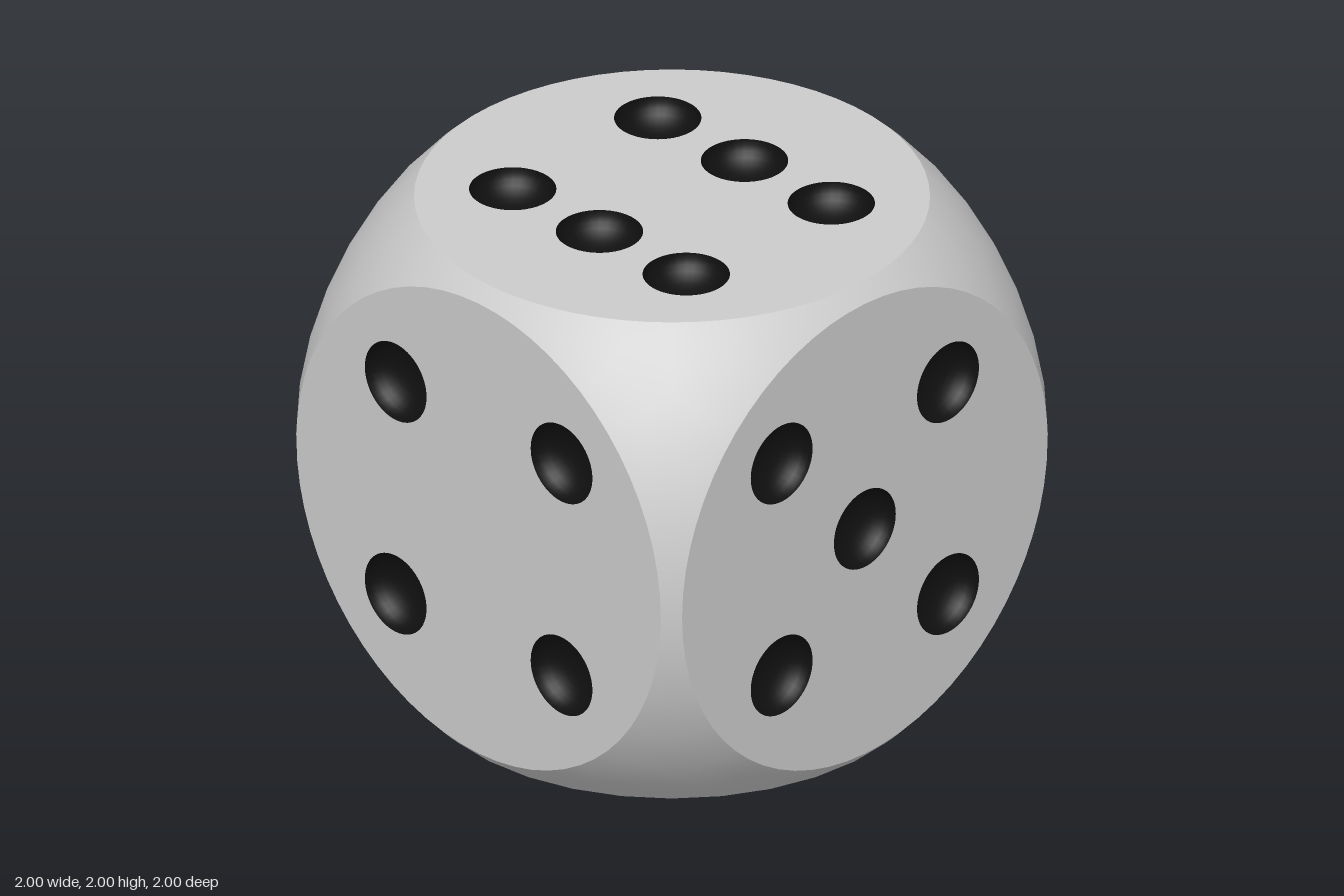
import * as THREE from 'three';

const SEG = 32;        // sides of every circle
const FLAT = 0.945;    // radius of the flat circle on each side
const R = Math.hypot(1, FLAT); // sphere that rounds the cube

// Rounded zone of one side: from the flat circle out to the cube's edges, pushed onto the sphere
function roundedZone() {
  const steps = 6, pos = [], nor = [], idx = [];
  const v = new THREE.Vector3();
  for (let i = 0; i <= SEG; i++) {
    const a = (i / SEG) * Math.PI * 2, c = Math.cos(a), s = Math.sin(a);
    const edge = 1 / Math.max(Math.abs(c), Math.abs(s));
    for (let j = 0; j <= steps; j++) {
      const r = THREE.MathUtils.lerp(FLAT, edge, j / steps);
      v.set(c * r, s * r, 1).normalize();
      nor.push(v.x, v.y, v.z);
      pos.push(v.x * R, v.y * R, v.z * R);
      if (i < SEG && j < steps) {
        const p = i * (steps + 1) + j, q = p + steps + 1;
        idx.push(p, p + 1, q + 1, p, q + 1, q);
      }
    }
  }
  const g = new THREE.BufferGeometry();
  g.setAttribute('position', new THREE.Float32BufferAttribute(pos, 3));
  g.setAttribute('normal', new THREE.Float32BufferAttribute(nor, 3));
  g.setIndex(idx);
  return g;
}

// Flat circle with a hole for every pip
function flatFace(pips, r) {
  const shape = new THREE.Shape().absarc(0, 0, FLAT, 0, Math.PI * 2);
  for (const [x, y] of pips) {
    shape.holes.push(new THREE.Path().absarc(x, y, r, 0, Math.PI * 2, true));
  }
  return new THREE.ShapeGeometry(shape, SEG).translate(0, 0, 1);
}

// Hollow dish sunk into a side
function dish(r) {
  return new THREE.SphereGeometry(r, SEG, 8, 0, Math.PI * 2, Math.PI / 2, Math.PI / 2)
    .rotateX(Math.PI / 2).scale(1, 1, 0.7);
}

export function createModel() {
  const model = new THREE.Group();
  model.name = 'die';
  const grey = new THREE.MeshStandardMaterial({ color: 0xcccccc });
  const black = new THREE.MeshStandardMaterial({ color: 0x0f0f0f, side: THREE.DoubleSide });
  const zone = roundedZone();

  const h = Math.PI / 2, u = 0.43, w = 0.445;
  const four = [[-u, w], [u, w], [-u, -w], [u, -w]];
  const six = [-0.375, 0.375].flatMap(x => [-0.45, 0, 0.45].map(y => [x, y]));
  // name, turn about x, turn about y, pip radius, pip centres
  const sides = [
    ['front', 0, 0, 0.16, [...four, [0, 0]]],
    ['back', 0, 2 * h, 0.207, [[-0.24, 0.24], [0.24, -0.24]]],
    ['left', 0, h, 0.16, [[-u, w], [0, 0], [u, -w]]],
    ['right', 0, -h, 0.16, four],
    ['top', -h, 0, 0.16, six],
    ['bottom', h, 0, 0.253, [[0, 0]]],
  ];

  for (const [name, rx, ry, r, pips] of sides) {
    const side = new THREE.Group();
    side.name = name + 'Side';
    side.rotation.set(rx, ry, 0);
    side.position.y = 1;

    const face = new THREE.Mesh(flatFace(pips, r), grey);
    face.name = name + 'Face';
    const rounding = new THREE.Mesh(zone, grey);
    rounding.name = name + 'Rounding';
    side.add(face, rounding);

    const pipGeometry = dish(r);
    pips.forEach(([x, y], i) => {
      const pip = new THREE.Mesh(pipGeometry, black);
      pip.name = name + 'Pip' + (i + 1);
      pip.position.set(x, y, 1);
      side.add(pip);
    });
    model.add(side);
  }
  return model;
}
